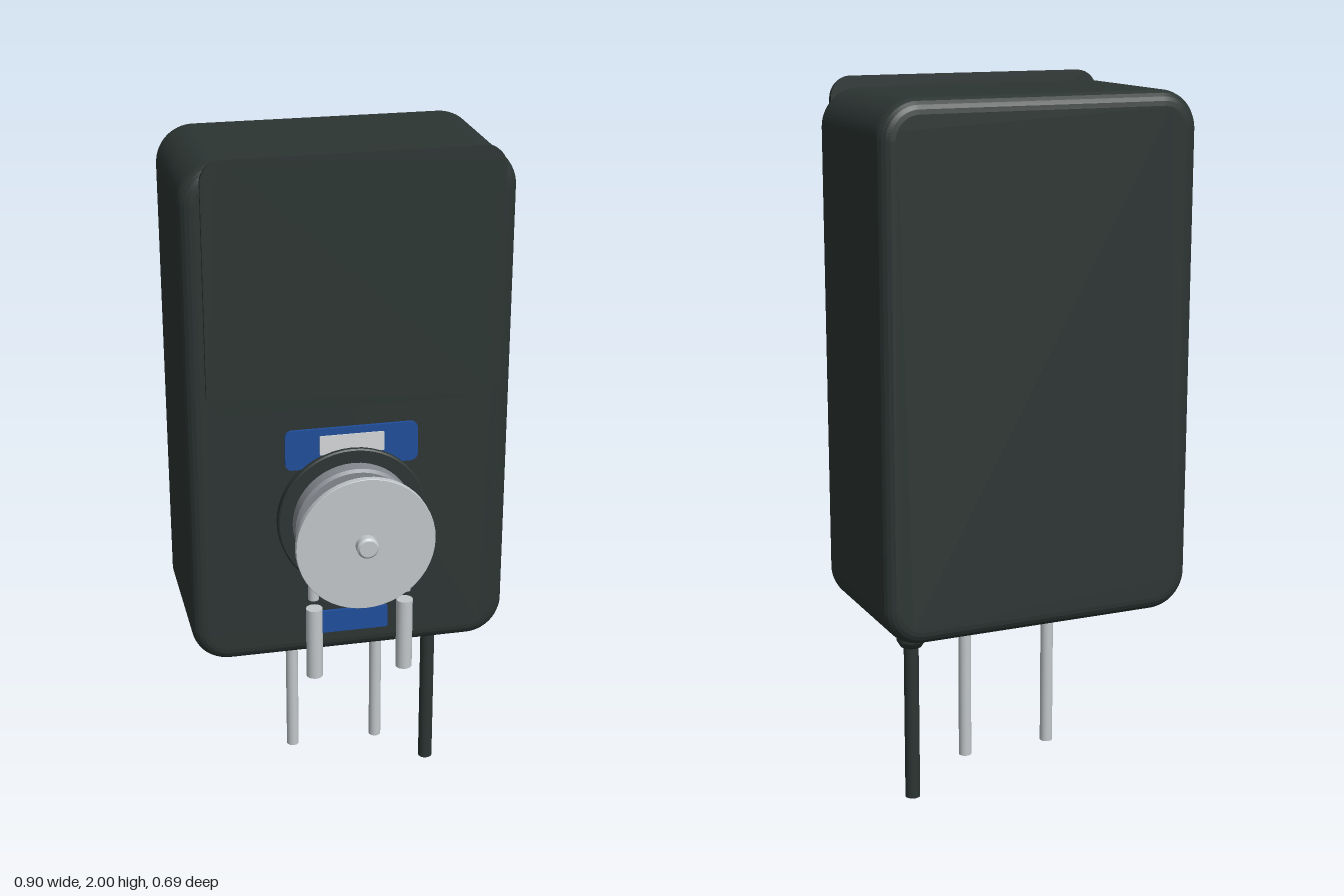
import * as THREE from 'three';

const mat = (name, color, side = THREE.FrontSide) => {
  const m = new THREE.MeshStandardMaterial({ color, side });
  m.name = name;
  return m;
};

// Rounded rectangle centred on the origin
function roundedRect(w, h, r) {
  const x = w / 2, y = h / 2, s = new THREE.Shape();
  s.moveTo(-x + r, -y).lineTo(x - r, -y).absarc(x - r, -y + r, r, -Math.PI / 2, 0);
  s.lineTo(x, y - r).absarc(x - r, y - r, r, 0, Math.PI / 2);
  s.lineTo(-x + r, y).absarc(-x + r, y - r, r, Math.PI / 2, Math.PI);
  s.lineTo(-x, -y + r).absarc(-x + r, -y + r, r, Math.PI, Math.PI * 1.5);
  return s;
}

// Rounded slab from z0 to z1 with an optional soft edge
function slab(w, h, r, z0, z1, bevel = 0) {
  const g = new THREE.ExtrudeGeometry(roundedRect(w - 2 * bevel, h - 2 * bevel, r - bevel), {
    depth: z1 - z0 - 2 * bevel, curveSegments: 8, bevelEnabled: bevel > 0,
    bevelThickness: bevel, bevelSize: bevel, bevelSegments: 5,
  });
  return g.translate(0, 0, z0 + bevel);
}

// Lathed disc facing +z, with a small chamfer on the front rim
function disc(r, z0, z1, c = 0.004) {
  const d = z1 - z0;
  const rim = [[0, 0], [r, 0], [r, 0], [r, d - c], [r, d - c], [r - c, d], [r - c, d], [0, d]];
  const g = new THREE.LatheGeometry(rim.map(([a, b]) => new THREE.Vector2(a, b)), 48);
  return g.rotateX(Math.PI / 2).translate(0, 0, z0);
}

export function createModel() {
  const model = new THREE.Group();
  model.name = 'pumpUnit';
  const dark = mat('charcoal plastic', 0x2c3533);
  const black = mat('black rubber', 0x222727);
  const blue = mat('blue panel', 0x1f4e9c);
  const silver = mat('light silver', 0xc2c7ca);
  const metal = mat('grey metal', 0x85898f);
  const white = mat('label white', 0xd5d8da);

  const add = (name, geo, material, x = 0, y = 0, z = 0) => {
    const m = new THREE.Mesh(geo, material);
    m.name = name;
    m.position.set(x, y, z);
    model.add(m);
    return m;
  };
  const rod = (name, r, y0, y1, material, x, z) =>
    add(name, new THREE.CylinderGeometry(r, r, y1 - y0, 24), material, x, (y0 + y1) / 2, z);

  // Housing
  add('housing', slab(0.9, 1.435, 0.105, -0.345, 0.13, 0.04), dark, 0, 1.2575);

  // Screen panel, its controls and the hinged cover
  add('screenPanel', slab(0.74, 0.555, 0.05, 0.125, 0.15, 0.006), blue, 0, 1.6575);
  add('displayButton', disc(0.048, 0.148, 0.16), dark, -0.11, 1.815);
  add('displayPlate', slab(0.24, 0.07, 0.015, 0.148, 0.16), dark, 0.065, 1.655);
  add('cover', slab(0.8, 0.69, 0.06, 0.163, 0.176), dark, 0, 1.655);

  // Front labels
  add('upperLabel', slab(0.37, 0.115, 0.02, 0.128, 0.139), blue, 0, 1.1775);
  add('labelWindow', slab(0.18, 0.056, 0.003, 0.137, 0.142), white, 0, 1.187);
  add('lowerLabel', slab(0.21, 0.068, 0.005, 0.128, 0.139), blue, 0, 0.642);

  // Pump head
  const cy = 0.965;
  add('pumpCollar', disc(0.21, 0.128, 0.156), dark, 0, cy);
  add('pumpBase', disc(0.17, 0.154, 0.205, 0.008), metal, 0, cy);
  add('rotor', disc(0.108, 0.235, 0.27), silver, 0, cy);
  for (const s of [-1, 1])
    add('roller', disc(0.033, 0.235, 0.292), silver, s * 0.09, cy + s * 0.025);
  add('frontDisc', disc(0.192, 0.3, 0.319, 0.001), silver, 0, cy);
  add('knob', disc(0.03, 0.318, 0.346, 0.006), silver, 0, cy);

  // Tubing loop around the rotor
  const loop = new THREE.CurvePath();
  const at = (x, y) => new THREE.Vector3(x, y, 0.24);
  const arc = [];
  for (let i = 0; i <= 16; i++) {
    const a = Math.PI * i / 16;
    arc.push(at(0.13 * Math.cos(a), cy + 0.13 * Math.sin(a)));
  }
  loop.add(new THREE.LineCurve3(at(0.13, 0.775), arc[0]));
  loop.add(new THREE.CatmullRomCurve3(arc));
  loop.add(new THREE.LineCurve3(arc[16], at(-0.13, 0.775)));
  add('tubeLoop', new THREE.TubeGeometry(loop, 64, 0.015, 12), mat('tubing silver', 0xc2c7ca, THREE.DoubleSide));

  // Tube fittings in front, outlet tubes below the housing
  for (const x of [-0.128, 0.128]) {
    rod('tubeFitting', 0.023, 0.535, 0.746, silver, x, 0.24);
    rod('outletCollar', 0.03, 0.475, 0.55, black, x, -0.105);
    rod('outletTube', 0.018, 0.1, 0.5, silver, x, -0.105);
  }

  // Power cable with its strain relief
  const relief = [[0, 0], [0.03, 0], [0.041, 0.018], [0.041, 0.018], [0.041, 0.1], [0, 0.1]];
  add('strainRelief', new THREE.LatheGeometry(relief.map(([a, b]) => new THREE.Vector2(a, b)), 24),
    dark, 0.29, 0.453, -0.105);
  rod('powerCable', 0.021, 0, 0.47, dark, 0.29, -0.105);

  return model;
}
